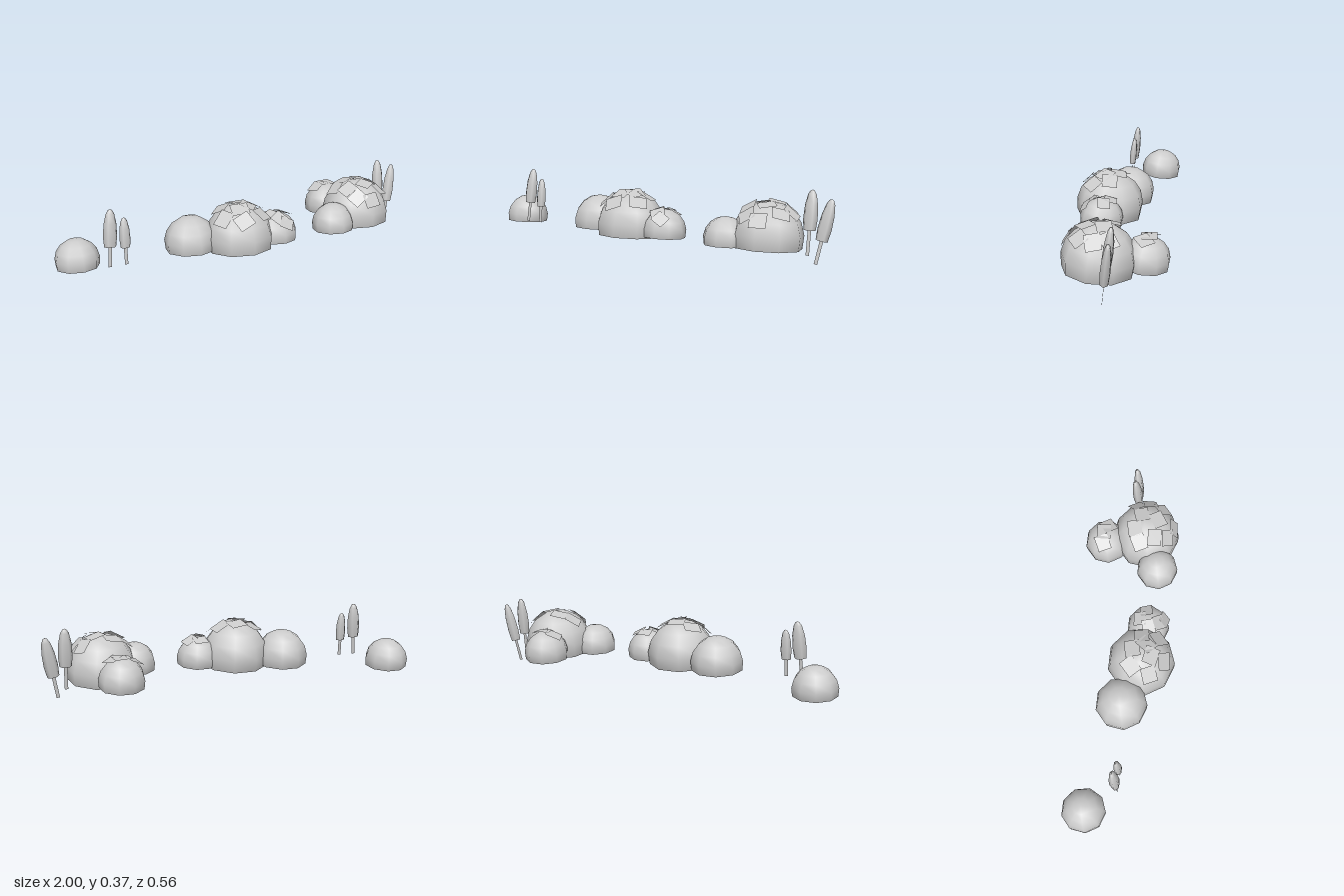
import * as THREE from 'three';

const mat = new THREE.MeshStandardMaterial({ color: 0xcccccc, side: THREE.DoubleSide });
const LEAN = -0.09; // everything leans back with the slope of the ground
const SWEEP = 0.59 * Math.PI; // dome runs a little below its equator

// Domes: x, z, top height, radius, and plates as [x, z, spin, tilt]
const domes = [
  { name: 'farDome', x: -0.885, z: -0.112, top: 0.185, r: 0.117 },
  { name: 'middleSideDome', x: -0.31, z: 0.02, top: 0.252, r: 0.14 },
  {
    name: 'middleMainDome', x: -0.068, z: 0.1, top: 0.303, r: 0.183, size: 0.092,
    plates: [[-0.06, 0.05, 0.2, 0.05], [-0.15, 0.05, 0.7, 0.1], [0.02, 0.09, 0.1, -0.1], [-0.09, 0.15, -0.2, 0.1],
      [-0.1, 0.22, 0.25, 0.05], [0.02, 0.18, 0.6, -0.1], [-0.18, 0.15, 0.4, 0.1], [-0.03, 0.12, 0.9, 0.12]],
  },
  {
    name: 'middleSmallDome', x: 0.14, z: 0.117, top: 0.228, r: 0.115, size: 0.075,
    plates: [[0.14, 0.07, 0.1, 0.1], [0.19, 0.1, 0.2, -0.1], [0.13, 0.17, 0.5, 0.1], [0.1, 0.12, 0.3, 0.1], [0.16, 0.2, -0.4, 0]],
  },
  { name: 'rightFrontDome', x: 0.49, z: 0.132, top: 0.224, r: 0.114 },
  {
    name: 'rightMainDome', x: 0.685, z: 0.052, top: 0.305, r: 0.184, size: 0.088,
    plates: [[0.57, 0.02, 0.4, 0.1], [0.6, 0.1, 0.1, 0.1], [0.62, 0.17, 0.3, 0], [0.7, 0.11, 0.6, -0.15], [0.69, 0.2, 0.1, 0.05],
      [0.72, 0.02, 0.3, 0.1], [0.78, 0.13, 0.5, -0.1], [0.81, 0.06, 0.2, 0], [0.79, -0.01, 0.7, 0.1], [0.64, -0.01, 0.2, 0.15]],
  },
  {
    name: 'rightBackDome', x: 0.628, z: -0.165, top: 0.227, r: 0.12, size: 0.085,
    plates: [[0.57, -0.18, 0.4, 0.1], [0.63, -0.18, 0.1, 0.12], [0.67, -0.16, 0.6, -0.1]],
  },
];

// Trees: base point, tip point, height where the crown starts, crown radius
const trees = [
  { base: [-0.765, 0.07, 0.05], tip: [-0.742, 0.365, 0.02], from: 0.175, r: 0.037 },
  { base: [-0.68, 0.07, 0.055], tip: [-0.678, 0.315, 0.033], from: 0.16, r: 0.029 },
  { base: [0.877, 0.04, 0.005], tip: [0.882, 0.365, -0.035], from: 0.165, r: 0.037 },
  { base: [0.92, 0, 0.005], tip: [0.982, 0.325, -0.035], from: 0.118, r: 0.036 },
];

function addMesh(parent, name, geometry) {
  const mesh = new THREE.Mesh(geometry, mat);
  mesh.name = name;
  parent.add(mesh);
  return mesh;
}

function makeDome({ name, x, z, top, r, size, plates = [] }) {
  const group = new THREE.Group();
  group.name = name;
  group.position.set(x, top - r, z);

  // Open shell
  const shell = addMesh(group, 'domeShell', new THREE.SphereGeometry(r, 9, 5, 0, Math.PI * 2, 0, SWEEP));
  shell.rotation.set(LEAN, Math.PI / 2, 0, 'XYZ');

  // Flat plates lying loosely on the shell
  plates.forEach(([px, pz, spin, tilt]) => {
    const dx = px - x, dz = pz - z;
    const normal = new THREE.Vector3(dx, Math.sqrt(Math.max(r * r - dx * dx - dz * dz, 0.001)), dz).normalize();
    const plate = addMesh(group, 'roofPlate', new THREE.PlaneGeometry(size, size * 0.88).rotateX(-Math.PI / 2));
    plate.quaternion.setFromUnitVectors(new THREE.Vector3(0, 1, 0), normal);
    plate.rotateY(spin);
    plate.rotateX(tilt);
    plate.position.copy(normal).multiplyScalar(r + 0.003);
  });
  return group;
}

function makeTree({ base, tip, from, r }) {
  const group = new THREE.Group();
  group.name = 'tree';
  const start = new THREE.Vector3(...base);
  const axis = new THREE.Vector3(...tip).sub(start);
  const length = axis.length();
  group.position.copy(start);
  group.quaternion.setFromUnitVectors(new THREE.Vector3(0, 1, 0), axis.normalize());

  // Flat stem
  const crownStart = (length * (from - base[1])) / (tip[1] - base[1]);
  const stemHeight = crownStart + (length - crownStart) * 0.6;
  addMesh(group, 'stem', new THREE.PlaneGeometry(0.018, stemHeight).translate(0, stemHeight / 2, 0));

  // Slender crown, open underneath
  const profile = [[0.85, 0], [1, 0.28], [0.9, 0.62], [0.6, 0.88], [0.28, 0.98], [0, 1]].map(
    ([w, t]) => new THREE.Vector2(w * r, crownStart + t * (length - crownStart)));
  const crown = addMesh(group, 'crown', new THREE.LatheGeometry(profile, 6, Math.PI / 6 * 3));
  crown.scale.z = 0.72;
  return group;
}

export function createModel() {
  const model = new THREE.Group();
  model.name = 'domeVillage';
  domes.forEach((d) => model.add(makeDome(d)));
  trees.forEach((t) => model.add(makeTree(t)));
  return model;
}
